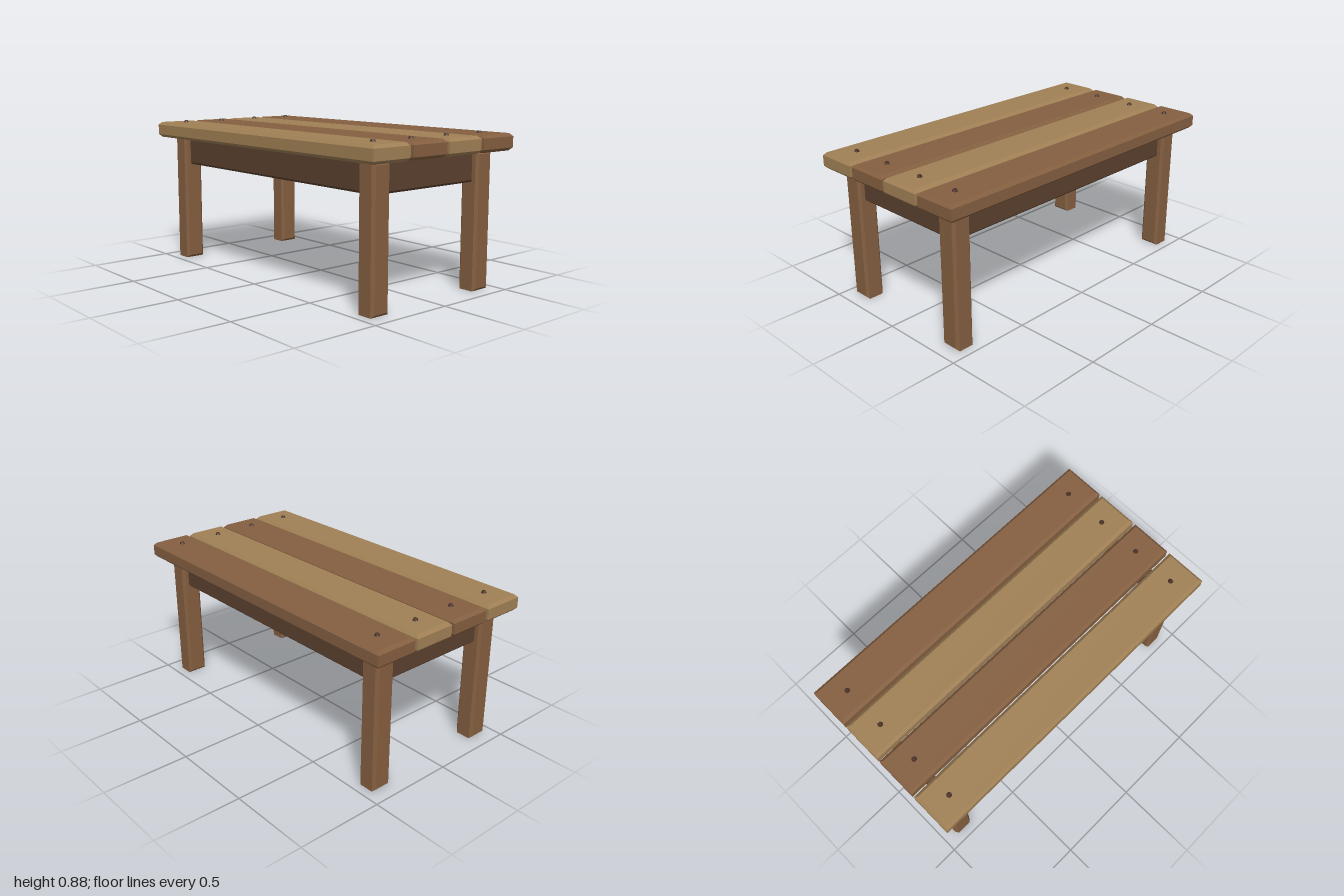
import * as THREE from 'three';

const mat = (name, color) => {
  const m = new THREE.MeshStandardMaterial({ color });
  m.name = name;
  return m;
};

// Box w*h*d (x, y, z) with chamfers around the two faces across the given axis
function block(w, h, d, bevel, axis) {
  const [a, b, depth] = axis === 'x' ? [d, h, w] : axis === 'y' ? [w, d, h] : [w, h, d];
  const shape = new THREE.Shape([
    new THREE.Vector2(-a / 2, -b / 2), new THREE.Vector2(a / 2, -b / 2),
    new THREE.Vector2(a / 2, b / 2), new THREE.Vector2(-a / 2, b / 2),
  ]);
  const geo = new THREE.ExtrudeGeometry(shape, {
    depth: depth - 2 * bevel, bevelEnabled: true, bevelSegments: 1,
    bevelSize: bevel, bevelThickness: bevel, bevelOffset: -bevel,
  });
  geo.translate(0, 0, bevel - depth / 2);
  if (axis === 'x') geo.rotateY(Math.PI / 2);
  if (axis === 'y') geo.rotateX(-Math.PI / 2);
  return geo;
}

export function createModel() {
  const table = new THREE.Group();
  table.name = 'slattedTable';
  const lightWood = mat('lightWood', 0xa08055);
  const brownWood = mat('brownWood', 0x855f40);
  const darkWood = mat('darkWood', 0x5b412f);
  const boltMetal = mat('darkBolt', 0x4a3226);

  const add = (name, geo, material, x, y, z) => {
    const mesh = new THREE.Mesh(geo, material);
    mesh.name = name;
    mesh.position.set(x, y, z);
    table.add(mesh);
  };

  const legX = 0.863, legZ = 0.386;
  const plankBottom = 0.778, plankTop = 0.873;

  // Four planks in alternating wood, each with a bolt at both ends
  const plank = block(2, plankTop - plankBottom, 0.248, 0.017, 'y');
  const bolt = new THREE.CylinderGeometry(0.01, 0.017, 0.014, 6).rotateY(Math.PI / 6).toNonIndexed();
  bolt.computeVertexNormals();
  for (let i = 0; i < 4; i++) {
    const z = 0.4 - i * 0.2667;
    add('plank', plank, i % 2 ? brownWood : lightWood, 0, (plankBottom + plankTop) / 2, z);
    for (const s of [-1, 1]) add('bolt', bolt, boltMetal, s * legX, plankTop + 0.005, z);
  }

  // Legs
  const leg = block(0.116, plankBottom, 0.12, 0.015, 'x');
  for (const sx of [-1, 1])
    for (const sz of [-1, 1]) add('leg', leg, brownWood, sx * legX, plankBottom / 2, sz * legZ);

  // Rails between the legs
  const longRail = block(1.62, 0.171, 0.054, 0.013, 'z');
  const shortRail = block(0.054, 0.171, 0.66, 0.013, 'x');
  for (const s of [-1, 1]) {
    add('longRail', longRail, darkWood, 0, 0.695, s * legZ);
    add('shortRail', shortRail, darkWood, s * legX, 0.695, 0);
  }
  return table;
}
